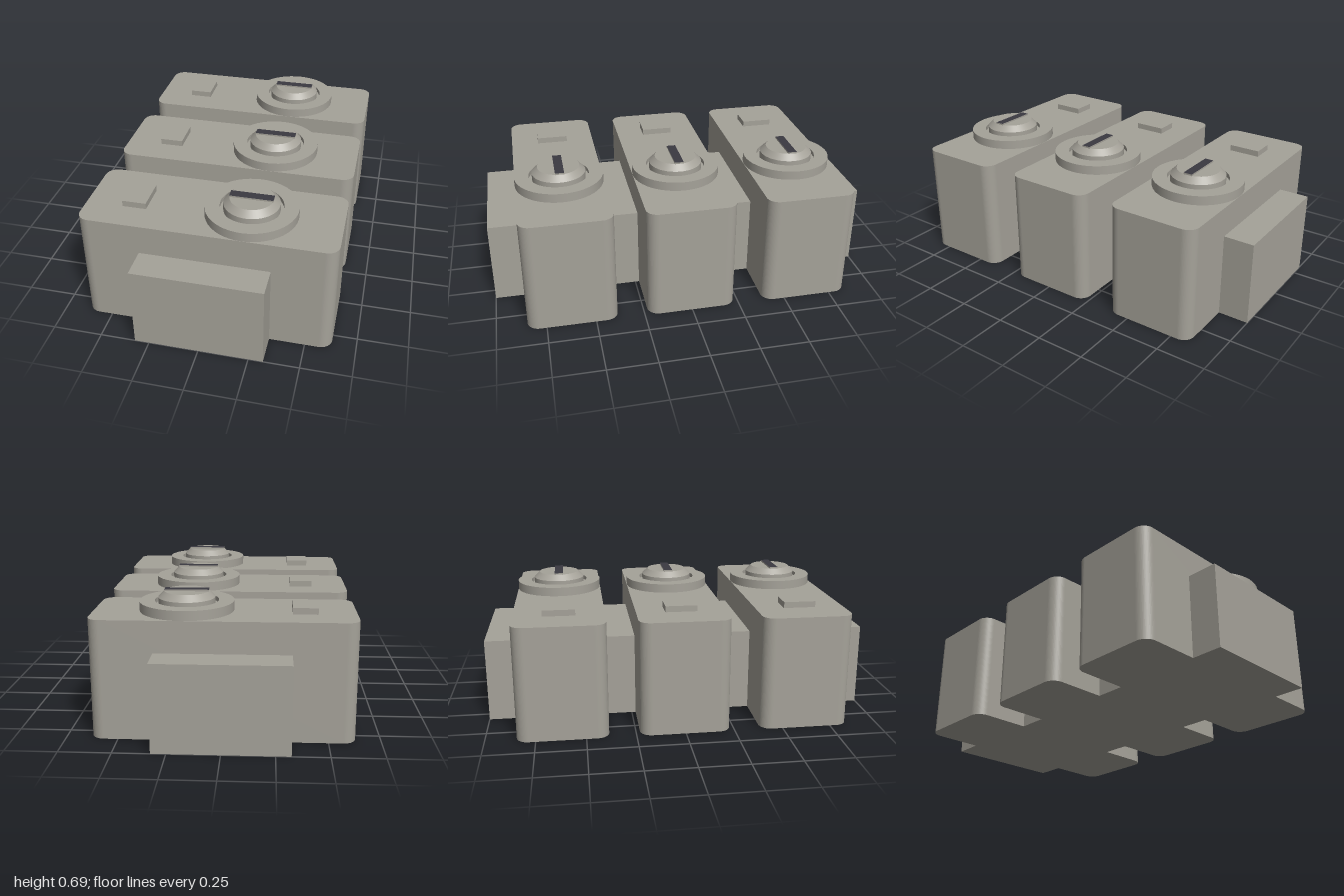
import * as THREE from 'three';

const grey = new THREE.MeshStandardMaterial({ color: 0xa5a299 });
grey.name = 'warmGrey';
const dark = new THREE.MeshStandardMaterial({ color: 0x3a3941 });
dark.name = 'darkSlate';

const DIAL_X = 0.183;

function add(parent, name, geometry, material, x, y, z) {
  const mesh = new THREE.Mesh(geometry, material);
  mesh.name = name;
  mesh.position.set(x, y, z);
  parent.add(mesh);
  return mesh;
}

// Upright block with rounded vertical corners
function blockGeometry(w, d, h, r) {
  const s = new THREE.Shape();
  const x = w / 2, y = d / 2;
  s.moveTo(-x + r, -y);
  s.lineTo(x - r, -y);
  s.absarc(x - r, -y + r, r, -Math.PI / 2, 0);
  s.lineTo(x, y - r);
  s.absarc(x - r, y - r, r, 0, Math.PI / 2);
  s.lineTo(-x + r, y);
  s.absarc(-x + r, y - r, r, Math.PI / 2, Math.PI);
  s.lineTo(-x, -y + r);
  s.absarc(-x + r, -y + r, r, Math.PI, Math.PI * 1.5);
  const g = new THREE.ExtrudeGeometry(s, { depth: h, bevelEnabled: false, curveSegments: 8 });
  return g.rotateX(-Math.PI / 2);
}

// Lathe with hard edges: every profile point is doubled into separate bands
function hardLathe(parent, name, profile) {
  const group = new THREE.Group();
  group.name = name;
  for (let i = 0; i < profile.length - 1; i++) {
    const band = [profile[i], profile[i + 1]].map(([r, y]) => new THREE.Vector2(r, y));
    add(group, name + 'Band', new THREE.LatheGeometry(band, 48), grey, 0, 0, 0);
  }
  parent.add(group);
  return group;
}

function createUnit() {
  const unit = new THREE.Group();
  unit.name = 'switchUnit';
  add(unit, 'block', blockGeometry(1.26, 0.46, 0.586, 0.06), grey, 0, 0, 0);
  add(unit, 'button', new THREE.BoxGeometry(0.12, 0.04, 0.165), grey, -0.385, 0.597, 0);

  // Dial: collar, recessed groove and tapered knob
  const dial = new THREE.Group();
  dial.name = 'dial';
  dial.position.x = DIAL_X;
  unit.add(dial);
  hardLathe(dial, 'collar', [[0.229, 0.58], [0.229, 0.633], [0.155, 0.633], [0.155, 0.61], [0.138, 0.61]]);
  hardLathe(dial, 'knob', [[0.138, 0.61], [0.138, 0.649], [0.108, 0.679], [0, 0.679]]);

  // Raised pointer with a dark top face
  add(dial, 'pointer', new THREE.BoxGeometry(0.214, 0.012, 0.046),
    [grey, grey, dark, grey, grey, grey], 0, 0.681, 0);
  return unit;
}

export function createModel() {
  const model = new THREE.Group();
  model.name = 'switchBank';

  // Spine joining the three units
  add(model, 'spine', new THREE.BoxGeometry(0.645, 0.431, 2), grey, 0, 0.2155, 0);

  for (const z of [-0.615, 0, 0.615]) {
    const unit = createUnit();
    unit.position.z = z;
    model.add(unit);
  }
  return model;
}
